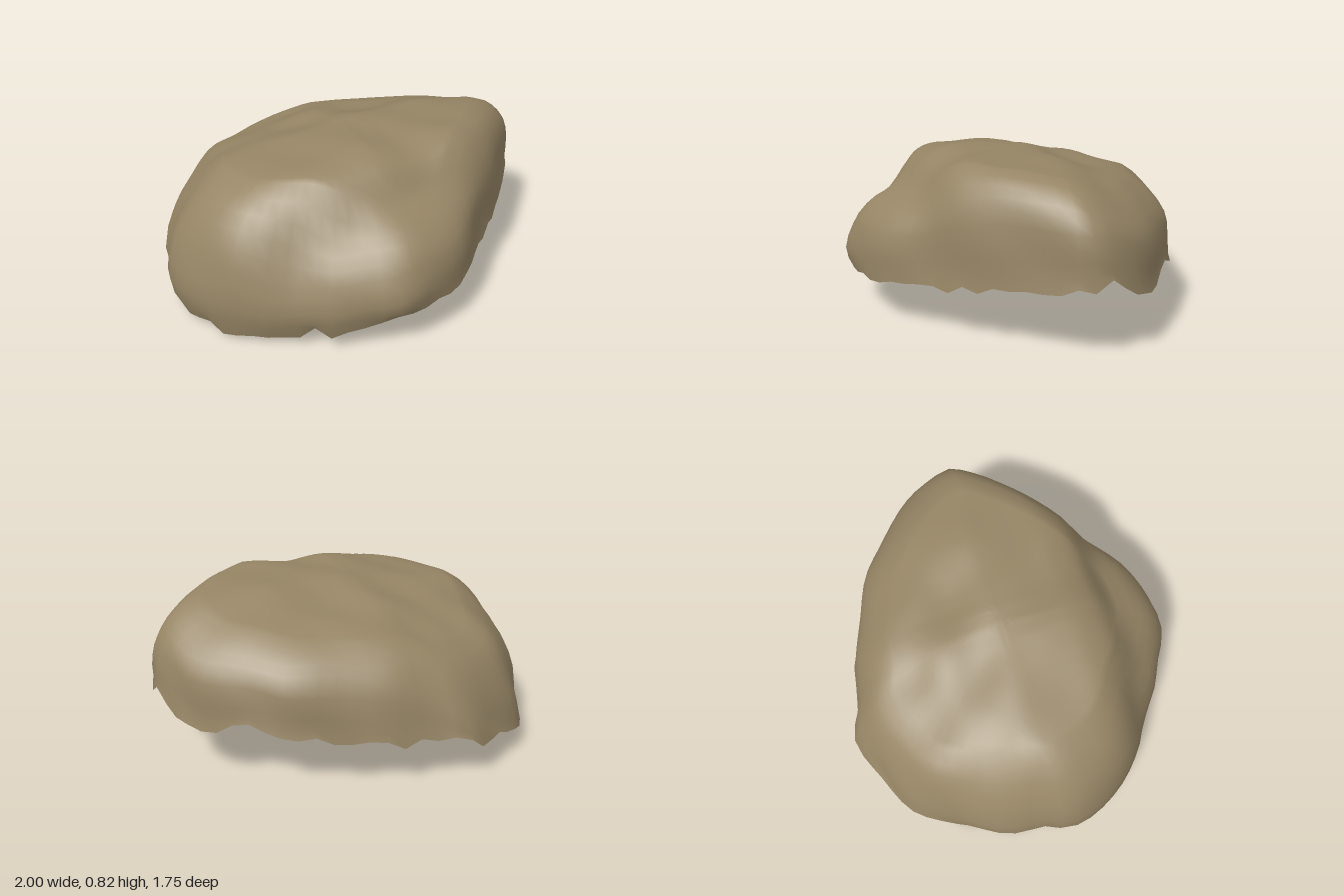
import * as THREE from 'three';

// Lower edge, counter-clockwise seen from above: x, edge height, z
const RIM = [
  [1, .39, 0], [.97, .36, -.17], [.9, .27, -.3], [.68, .33, -.51], [.57, .28, -.6], [.37, .27, -.68],
  [.13, .25, -.79], [-.07, .24, -.82], [-.25, .21, -.88], [-.46, .15, -.8], [-.67, .1, -.69],
  [-.83, .03, -.45], [-.94, .02, -.22], [-.96, .03, -.05], [-1, .03, .05], [-.98, .02, .18],
  [-.87, .04, .4], [-.72, .04, .54], [-.6, .06, .61], [-.51, .1, .68], [-.42, .11, .75],
  [-.32, .14, .79], [-.15, .18, .87], [0, .23, .86], [.2, .23, .79], [.32, .26, .7],
  [.45, .26, .57], [.63, .28, .42], [.8, .32, .25], [.93, .34, .1],
];
// Wall section: share of height, radius on the rounded side, on the steep side, at the back
const WALL = [
  [0, .96, 1, 1], [.15, .99, .988, .985], [.3, 1, .986, .968], [.45, .985, .98, .948], [.6, .955, .97, .92],
  [.72, .92, .952, .89], [.82, .87, .92, .86], [.9, .815, .878, .825], [.96, .75, .825, .78], [1, .67, .75, .71],
];
// Crown height along x, and its change along z (with the front ledge)
const ALONG_X = [[-1, .63], [-.8, .68], [-.6, .725], [-.3, .77], [-.05, .82], [.1, .805], [.4, .825], [.75, .8], [1, .78]];
const ALONG_Z = [[-.9, -.25], [-.75, -.2], [-.65, -.17], [-.55, -.14], [-.45, -.11], [-.35, -.08], [-.2, -.055],
  [-.05, -.005], [.1, 0], [.34, 0], [.46, -.04], [.5, -.075], [.56, -.17], [.6, -.195], [.72, -.21], [.9, -.24]];

const { lerp, smoothstep } = THREE.MathUtils;

function interpolate(table, v) {
  if (v <= table[0][0]) return table[0][1];
  for (let i = 1; i < table.length; i++) {
    const [a, p] = table[i - 1], [b, q] = table[i];
    if (v <= b) return p + (q - p) * (v - a) / (b - a);
  }
  return table[table.length - 1][1];
}

const soften = (table, v, d) =>
  (interpolate(table, v - d) + 2 * interpolate(table, v) + interpolate(table, v + d)) / 4;

function crownHeight(x, z) {
  const bumps = .007 * Math.sin(9 * x + 3 * z) * Math.cos(8 * z - 2 * x) + .004 * Math.sin(17 * x - 11 * z);
  const hollow = -.025 * Math.exp(-((x + .15) ** 2 + (z + .48) ** 2) / .012)
    - .015 * Math.exp(-((x - .3) ** 2 + (z + .25) ** 2) / .03);
  // Both back corners fall away
  const corners = -.05 * smoothstep(x - z, .6, 1.1) - .03 * smoothstep(-x - z, .6, 1.1);
  // The ledge line wanders slightly across the front
  const wavyZ = z + .015 * Math.sin(7 * x);
  return soften(ALONG_X, x, .08) + soften(ALONG_Z, wavyZ, .04) + bumps + hollow + corners;
}

// Wall radius for a section row, blended by where the rim point lies
function wallRadius([, round, steep, back], p) {
  const toBack = smoothstep(-p.z, .25, .7);
  const toSteep = smoothstep(p.x, -.3, .45);
  return lerp(lerp(round, back, toBack), steep, toSteep);
}

function rockGeometry() {
  let seed = 7;
  const random = () => (seed = (seed * 16807) % 2147483647) / 2147483647;
  const curve = new THREE.CatmullRomCurve3(RIM.map(p => new THREE.Vector3(...p)), true, 'centripetal');
  const sides = 72, crownRings = 18;
  const rim = Array.from({ length: sides }, (_, j) => curve.getPointAt(j / sides));
  const jag = rim.map(() => (random() - .5) * .06);
  const rings = WALL.length + crownRings;
  const positions = [], indices = [];

  for (let i = 0; i < rings; i++) {
    const row = WALL[Math.min(i, WALL.length - 1)], share = row[0];
    for (let j = 0; j < sides; j++) {
      const p = rim[j];
      let scale = wallRadius(row, p);
      if (i >= WALL.length) scale *= 1 - (i - WALL.length + 1) / (crownRings + 1);
      // Gentle dents in the wall
      const angle = j / sides * Math.PI * 2;
      scale += .006 * Math.sin(11 * angle + 5 * share) * Math.sin(share * Math.PI);
      const x = p.x * scale, z = p.z * scale;
      const base = Math.max(0, p.y + (i === 0 ? jag[j] : 0));
      positions.push(x, base + share * (crownHeight(x, z) - base), z);
      if (i < rings - 1) {
        const a = i * sides + j, b = i * sides + (j + 1) % sides;
        indices.push(a, b, a + sides, b, b + sides, a + sides);
      }
    }
  }
  // Close the middle of the crown
  const centre = rings * sides, last = centre - sides;
  positions.push(0, crownHeight(0, 0), 0);
  for (let j = 0; j < sides; j++) indices.push(last + j, last + (j + 1) % sides, centre);

  const geometry = new THREE.BufferGeometry();
  geometry.setAttribute('position', new THREE.Float32BufferAttribute(positions, 3));
  geometry.setIndex(indices);
  geometry.computeVertexNormals();
  return geometry;
}

export function createModel() {
  const group = new THREE.Group();
  group.name = 'rock';
  // Thin shell, open underneath
  const material = new THREE.MeshStandardMaterial({ color: 0x968565, side: THREE.DoubleSide });
  const shell = new THREE.Mesh(rockGeometry(), material);
  shell.name = 'rockShell';
  group.add(shell);
  return group;
}
